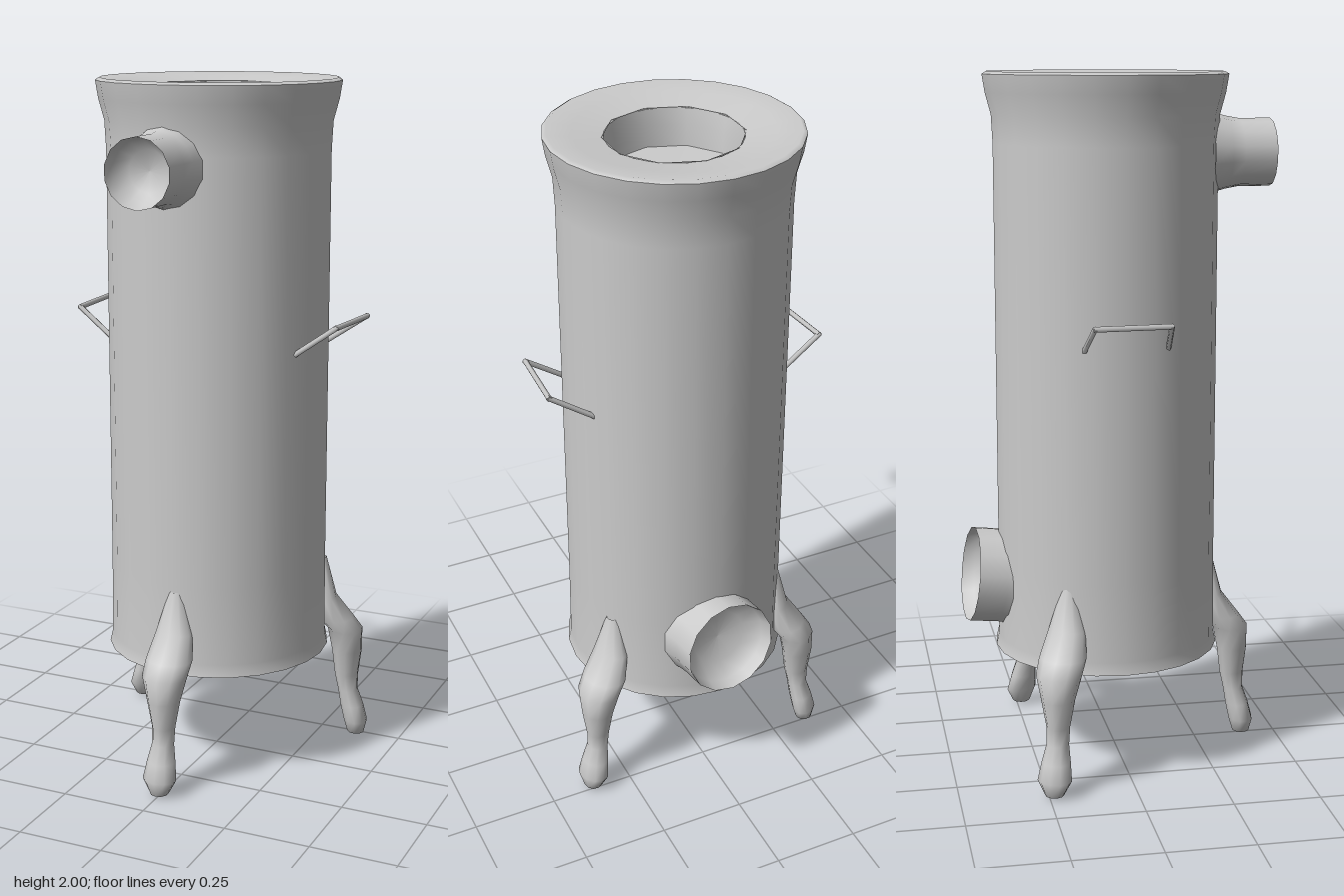
import * as THREE from 'three';

const CZ = -0.025; // centre of the drum in z
const mat = new THREE.MeshStandardMaterial({ color: 0xcccccc, side: THREE.DoubleSide });

function add(parent, name, geometry) {
  const mesh = new THREE.Mesh(geometry, mat);
  mesh.name = name;
  parent.add(mesh);
  return mesh;
}

function lathe(profile, sides) {
  return new THREE.LatheGeometry(profile.map(([r, y]) => new THREE.Vector2(r, y)), sides);
}

// Leg lofted from oval sections: [height, radial position, radial half, sideways half]
function legGeometry() {
  const sections = [
    [0.0, 0.42, 0.001, 0.001], [0.008, 0.422, 0.026, 0.027], [0.05, 0.42, 0.036, 0.05],
    [0.1, 0.408, 0.035, 0.042], [0.15, 0.395, 0.03, 0.032], [0.2, 0.39, 0.036, 0.033],
    [0.28, 0.39, 0.046, 0.048], [0.35, 0.383, 0.053, 0.066], [0.39, 0.352, 0.055, 0.068],
    [0.46, 0.318, 0.036, 0.055], [0.58, 0.302, 0.02, 0.02],
  ];
  const n = 10, pos = [], index = [];
  sections.forEach(([y, r, hr, ht], j) => {
    for (let i = 0; i < n; i++) {
      const a = (i / n) * Math.PI * 2;
      pos.push(Math.sin(a) * ht, y, r + Math.cos(a) * hr);
      if (j < sections.length - 1) {
        const p = j * n + i, q = j * n + (i + 1) % n;
        index.push(p, q, q + n, p, q + n, p + n);
      }
    }
  });
  const g = new THREE.BufferGeometry();
  g.setAttribute('position', new THREE.Float32BufferAttribute(pos, 3));
  g.setIndex(index);
  g.computeVertexNormals();
  return g;
}

// Thin bar between two points
function bar(parent, a, b) {
  const dir = b.clone().sub(a);
  const m = add(parent, 'handleBar', new THREE.CylinderGeometry(0.008, 0.008, dir.length() + 0.008, 5));
  m.position.copy(a).lerp(b, 0.5);
  m.quaternion.setFromUnitVectors(new THREE.Vector3(0, 1, 0), dir.normalize());
}

// Hollow spout along +z with a recessed end wall
function spout(name, radius, length, flare, depth) {
  const group = new THREE.Group();
  group.name = name;
  const wall = lathe([[radius + flare, 0], [radius + flare * 0.3, length * 0.3], [radius, length * 0.5], [radius, length]], 14);
  add(group, name + 'Wall', wall.rotateX(Math.PI / 2));
  const inside = lathe([[radius, length], [radius * 0.92, length - depth * 0.5], [radius * 0.6, length - depth], [0, length - depth * 1.1]], 14);
  add(group, name + 'Inside', inside.rotateX(Math.PI / 2));
  return group;
}

export function createModel() {
  const model = new THREE.Group();
  model.name = 'stove';

  // Drum with flared rim, recessed top opening and base plate
  const drum = new THREE.Group();
  drum.name = 'drum';
  drum.position.set(-0.004, 0, CZ);
  model.add(drum);
  add(drum, 'drumWall', lathe([[0.328, 0.335], [0.32, 0.37], [0.318, 0.6], [0.318, 1.8], [0.322, 1.88], [0.338, 1.94], [0.346, 1.99]], 24));
  add(drum, 'topRing', lathe([[0.346, 1.99], [0.335, 1.997], [0.27, 1.988], [0.185, 1.975]], 24));
  const well = new THREE.Group();
  well.name = 'topOpening';
  drum.add(well);
  add(well, 'openingWall', lathe([[0.19, 1.977], [0.182, 1.93], [0.178, 1.87]], 10));
  add(well, 'openingFloor', lathe([[0.178, 1.87], [0, 1.865]], 10));
  add(drum, 'basePlate', lathe([[0.328, 0.335], [0.3, 0.345], [0, 0.36]], 24));

  // Upper spout at the front
  const upper = spout('upperSpout', 0.096, 0.185, 0.022, 0.07);
  upper.position.set(-0.025, 1.77, 0.262);
  model.add(upper);

  // Larger lower spout at the back, tipped slightly upward
  const lower = spout('lowerSpout', 0.138, 0.165, 0.012, 0.07);
  lower.position.set(0.015, 0.535, -0.262);
  lower.rotation.set(-0.12, Math.PI + 0.08, 0, 'YXZ');
  model.add(lower);

  // Three legs at equal angles
  const leg = legGeometry();
  for (let i = 0; i < 3; i++) {
    const m = add(model, ['frontLeg', 'backLeftLeg', 'backRightLeg'][i], leg);
    m.position.z = CZ;
    m.rotation.y = (i * Math.PI * 2) / 3;
  }

  // Bent wire handles on both sides
  for (const s of [1, -1]) {
    const handle = new THREE.Group();
    handle.name = s > 0 ? 'leftHandle' : 'rightHandle';
    const pts = [[0.285, 1.255, 0.1], [0.398, 1.335, 0.085], [0.412, 1.335, -0.125], [0.285, 1.25, -0.135]]
      .map(([x, y, z]) => new THREE.Vector3(s * x, y, z));
    for (let i = 0; i < 3; i++) bar(handle, pts[i], pts[i + 1]);
    model.add(handle);
  }
  return model;
}
